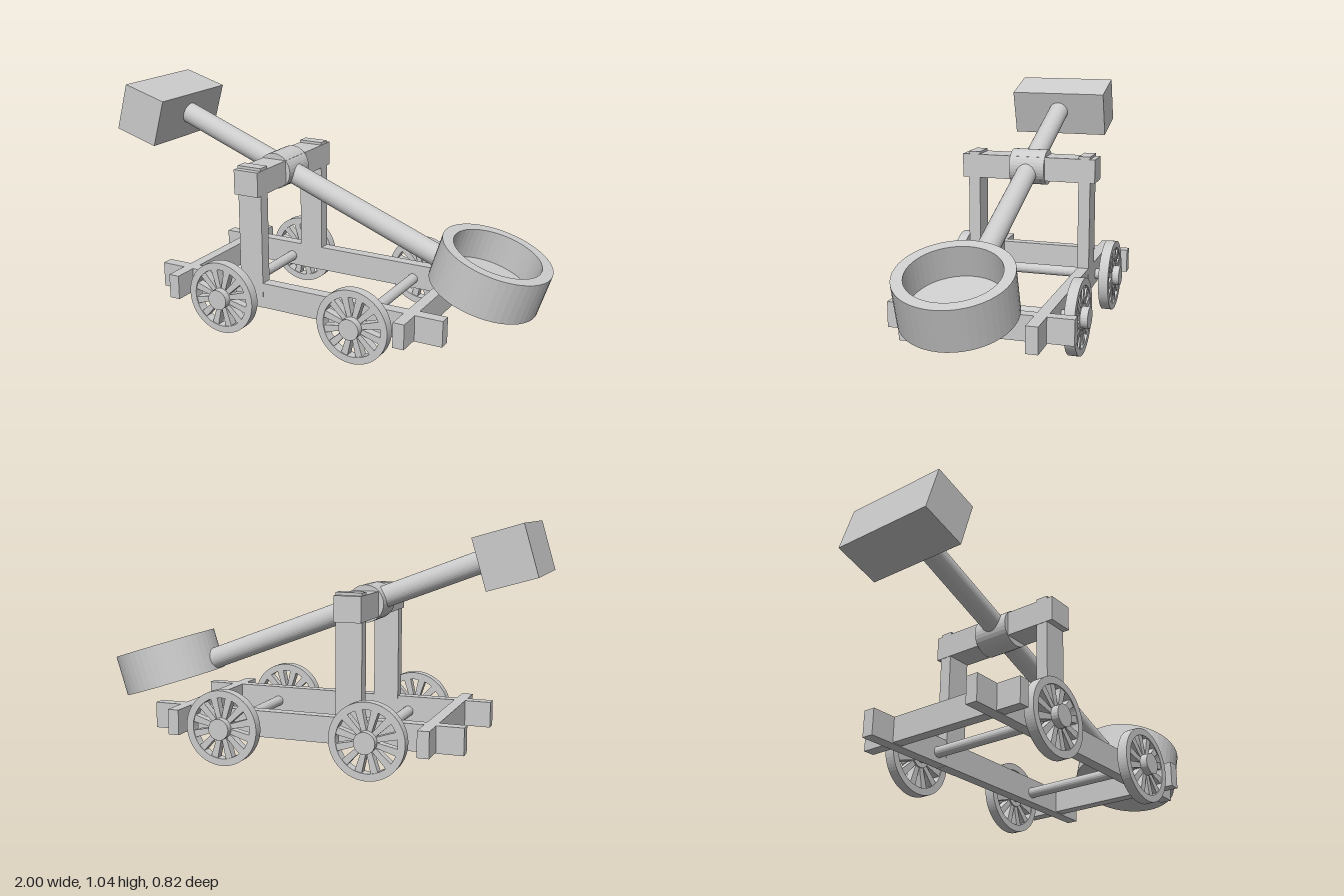
import * as THREE from 'three';

const material = new THREE.MeshStandardMaterial({ color: 0xcccccc, flatShading: true });

function add(parent, name, geometry, x = 0, y = 0, z = 0) {
  const mesh = new THREE.Mesh(geometry, material);
  mesh.name = name;
  mesh.position.set(x, y, z);
  parent.add(mesh);
  return mesh;
}

const box = (w, h, d) => new THREE.BoxGeometry(w, h, d);
// Cylinder lying along z
const rod = (radius, length, sides) =>
  new THREE.CylinderGeometry(radius, radius, length, sides).rotateX(Math.PI / 2);

// Spoked wheel, axis along z, hub projecting outwards (+z)
function makeWheel() {
  const wheel = new THREE.Group();
  wheel.name = 'wheel';
  const ring = new THREE.Shape().absarc(0, 0, 0.163, 0, Math.PI * 2, false);
  ring.holes.push(new THREE.Path().absarc(0, 0, 0.132, 0, Math.PI * 2, true));
  const rim = new THREE.ExtrudeGeometry(ring, { depth: 0.045, bevelEnabled: false, curveSegments: 36 });
  add(wheel, 'rim', rim.translate(0, 0, -0.0225));
  add(wheel, 'hub', rod(0.046, 0.075, 24), 0, 0, 0.0125);
  // Spokes widen slightly towards the rim
  const outline = new THREE.Shape([
    new THREE.Vector2(0.03, -0.01), new THREE.Vector2(0.138, -0.016),
    new THREE.Vector2(0.138, 0.016), new THREE.Vector2(0.03, 0.01),
  ]);
  const spoke = new THREE.ExtrudeGeometry(outline, { depth: 0.036, bevelEnabled: false }).translate(0, 0, -0.018);
  const count = 12;
  for (let i = 0; i < count; i++) {
    add(wheel, 'spoke', spoke).rotation.z = ((i + 0.5) / count) * Math.PI * 2;
  }
  return wheel;
}

export function createModel() {
  const model = new THREE.Group();
  model.name = 'catapult';

  // Base frame and uprights
  for (const side of [-1, 1]) {
    add(model, 'sideRail', box(1.39, 0.114, 0.052), -0.044, 0.178, side * 0.263);
    add(model, 'upright', box(0.114, 0.635, 0.054), -0.254, 0.438, side * 0.263);
  }
  add(model, 'rearCrossbar', box(0.05, 0.11, 0.795), -0.6, 0.18, 0);
  add(model, 'frontCrossbar', box(0.05, 0.11, 0.795), 0.503, 0.18, -0.005);
  add(model, 'topBeam', box(0.118, 0.109, 0.63), -0.254, 0.689, 0.003);

  // Axles and wheels
  for (const x of [-0.361, 0.286]) {
    add(model, 'axle', rod(0.024, 0.74, 20), x, 0.166, 0);
    for (const side of [-1, 1]) {
      const wheel = makeWheel();
      wheel.position.set(x, 0.166, side * 0.358);
      if (side < 0) wheel.rotation.y = Math.PI;
      model.add(wheel);
    }
  }

  // Pivot and throwing arm
  add(model, 'pivot', rod(0.081, 0.165, 32), -0.255, 0.689, 0.005);
  const start = new THREE.Vector3(-0.82, 0.908, 0.008);
  const end = new THREE.Vector3(0.53, 0.388, 0.008);
  const direction = end.clone().sub(start);
  const arm = add(model, 'throwingArm', new THREE.CylinderGeometry(0.048, 0.048, direction.length(), 32));
  arm.position.copy(start).lerp(end, 0.5);
  arm.quaternion.setFromUnitVectors(new THREE.Vector3(0, 1, 0), direction.normalize());

  // Counterweight
  add(model, 'counterweight', box(0.212, 0.218, 0.467), -0.869, 0.906, 0.006).rotation.z = -0.287;

  // Hollow bucket: outer wall, lip, inner wall and floor
  const profile = [[0, -0.093], [0.238, -0.093], [0.238, 0.093], [0.191, 0.093], [0.191, -0.045], [0, -0.045]]
    .map(([r, y]) => new THREE.Vector2(r, y));
  add(model, 'bucket', new THREE.LatheGeometry(profile, 48), 0.741, 0.366, 0.008).rotation.z = -0.307;

  return model;
}
